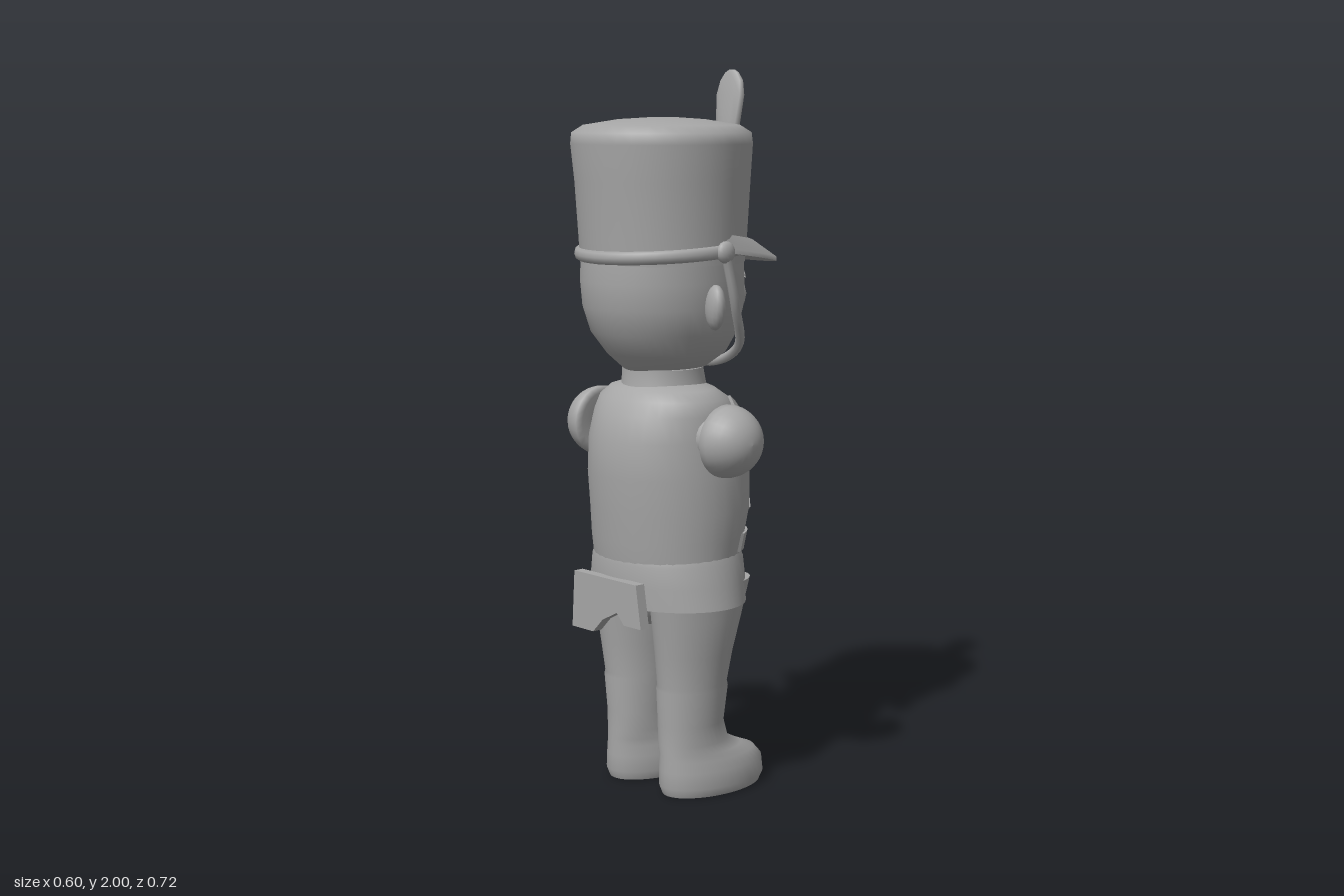
import * as THREE from 'three';

const grey = new THREE.MeshStandardMaterial({ color: 0xa6a6a6 });
grey.name = 'plain grey';

// Cross-sections, bottom to top: [y, back z, front z, half width, centre x]
const TORSO = [[0.65, -0.225, 0.16, 0.215], [0.72, -0.235, 0.18, 0.22], [0.8, -0.24, 0.2, 0.226],
  [0.9, -0.25, 0.203, 0.226], [1.0, -0.248, 0.187, 0.217], [1.07, -0.225, 0.155, 0.21],
  [1.11, -0.2, 0.115, 0.198], [1.135, -0.175, 0.08, 0.165], [1.15, -0.15, 0.05, 0.11]];
const SKIRT = [[0.54, -0.225, 0.165, 0.247], [0.6, -0.228, 0.172, 0.236], [0.66, -0.23, 0.172, 0.223], [0.69, -0.22, 0.16, 0.21]];
const HEAD = [[1.17, -0.13, 0.03, 0.06], [1.19, -0.165, 0.09, 0.1], [1.23, -0.205, 0.14, 0.155],
  [1.29, -0.25, 0.17, 0.195], [1.36, -0.273, 0.185, 0.213], [1.43, -0.279, 0.185, 0.218], [1.5, -0.275, 0.18, 0.218]];
const HAT = [[1.48, -0.275, 0.183, 0.223], [1.55, -0.28, 0.19, 0.226], [1.7, -0.29, 0.198, 0.236], [1.8, -0.3, 0.202, 0.246],
  [1.83, -0.297, 0.198, 0.243], [1.85, -0.265, 0.165, 0.212], [1.865, -0.17, 0.07, 0.12], [1.87, -0.09, 0, 0.04]];
const COLLAR = [[1.11, -0.17, 0.085, 0.125], [1.15, -0.16, 0.075, 0.115], [1.19, -0.158, 0.065, 0.113]];
const LEG = [[0, -0.13, 0.2, 0.094, 0.113], [0.025, -0.14, 0.212, 0.104, 0.113], [0.07, -0.14, 0.208, 0.1, 0.112],
  [0.1, -0.14, 0.18, 0.092, 0.111], [0.12, -0.14, 0.13, 0.085, 0.11], [0.145, -0.14, 0.08, 0.081, 0.108],
  [0.2, -0.14, 0.062, 0.081, 0.108], [0.3, -0.146, 0.073, 0.088, 0.111], [0.31, -0.144, 0.07, 0.084, 0.111],
  [0.4, -0.155, 0.087, 0.092, 0.115], [0.5, -0.17, 0.118, 0.1, 0.118], [0.6, -0.185, 0.15, 0.103, 0.12]];
const PELVIS = [[0.47, -0.11, 0.06, 0.05], [0.5, -0.14, 0.1, 0.11], [0.54, -0.17, 0.12, 0.19], [0.6, -0.18, 0.13, 0.2]];
const VISOR = [[0, -0.2, 0.302, 0.236], [0.012, -0.2, 0.302, 0.236], [0.05, -0.2, 0.205, 0.22]];

// Closed skin over elliptical cross-sections; warp may move each point
function loft(rings, warp = () => {}, n = 36) {
  const pos = [], idx = [];
  const add = (x, y, z) => {
    const p = new THREE.Vector3(x, y, z);
    warp(p);
    pos.push(p.x, p.y, p.z);
  };
  const ring = ([y, b, f, w, cx = 0]) => {
    for (let j = 0; j < n; j++) {
      const t = (j / n) * Math.PI * 2;
      add(cx + w * Math.sin(t), y, (b + f) / 2 + ((f - b) / 2) * Math.cos(t));
    }
  };
  rings.forEach(ring);
  for (let i = 0; i < rings.length - 1; i++) for (let j = 0; j < n; j++) {
    const a = i * n + j, b = i * n + (j + 1) % n;
    idx.push(a, b, a + n, b, b + n, a + n);
  }
  for (const top of [false, true]) {
    const r = top ? rings[rings.length - 1] : rings[0], s = pos.length / 3;
    ring(r);
    add(r[4] || 0, r[0], (r[1] + r[2]) / 2);
    for (let j = 0; j < n; j++) {
      const a = s + j, b = s + (j + 1) % n;
      idx.push(s + n, top ? a : b, top ? b : a);
    }
  }
  const g = new THREE.BufferGeometry();
  g.setAttribute('position', new THREE.Float32BufferAttribute(pos, 3));
  g.setIndex(idx);
  g.computeVertexNormals();
  return g;
}

// Front surface depth of a lofted part at (x, y)
function frontZ(rings, x, y) {
  let i = 0;
  while (i < rings.length - 2 && y > rings[i + 1][0]) i++;
  const p = rings[i], q = rings[i + 1];
  const t = THREE.MathUtils.clamp((y - p[0]) / (q[0] - p[0]), 0, 1);
  const [b, f, w] = [1, 2, 3].map(k => p[k] + (q[k] - p[k]) * t);
  const u = Math.min(Math.abs(x / w), 0.97);
  return (b + f) / 2 + ((f - b) / 2) * Math.sqrt(1 - u * u);
}

// Lays a flat relief, modelled in x and y, over the front of a lofted part
function drape(g, rings) {
  const p = g.attributes.position;
  for (let i = 0; i < p.count; i++) p.setZ(i, p.getZ(i) + frontZ(rings, p.getX(i), p.getY(i)));
  g.computeVertexNormals();
  return g;
}

const bead = (rx, ry, rz, turn = 0) => new THREE.SphereGeometry(1, 16, 10).scale(rx, ry, rz).rotateZ(turn);
const band = (x0, y0, x1, y1, w, d = 0.028) =>
  new THREE.BoxGeometry(Math.hypot(x1 - x0, y1 - y0), w, d, 18, 1, 1)
    .rotateZ(Math.atan2(y1 - y0, x1 - x0)).translate((x0 + x1) / 2, (y0 + y1) / 2, 0);
const tube = (pts, r) => new THREE.TubeGeometry(
  new THREE.CatmullRomCurve3(pts.map(p => new THREE.Vector3(...p))), 40, r, 8);

export function createModel() {
  const body = new THREE.Group();
  body.name = 'toySoldier';
  const part = (name, g) => {
    const m = new THREE.Mesh(g, grey);
    m.name = name;
    body.add(m);
    return m;
  };

  // Coat, with a hem that parts at the front
  part('torso', loft(TORSO));
  part('coatSkirt', loft(SKIRT, p => {
    if (p.y < 0.61 && p.z > 0) p.y += (p.y < 0.55 ? 0.085 : 0.035) * Math.max(0, 1 - Math.abs(p.x) / 0.16);
  }, 48));
  part('collar', loft(COLLAR, p => { if (p.z > 0 && p.y > 1.18) p.y -= 0.03 * Math.max(0, 1 - Math.abs(p.x) / 0.06); }));
  part('pelvis', loft(PELVIS));

  // Coat tail plate with a notched lower edge
  const tail = new THREE.Shape([[-0.12, 0.62], [-0.14, 0.5], [-0.07, 0.5], [-0.04, 0.53], [0.02, 0.5],
    [0.06, 0.46], [0.15, 0.46], [0.14, 0.62]].map(p => new THREE.Vector2(...p)));
  part('coatTail', new THREE.ExtrudeGeometry(tail, { depth: 0.03, bevelEnabled: false }).translate(0, 0, -0.252));

  // Belt, buckle and crossed straps
  part('belt', drape(band(-0.195, 0.705, 0.195, 0.705, 0.05, 0.022), TORSO));
  part('buckle', drape(band(-0.036, 0.705, 0.036, 0.705, 0.068, 0.045), TORSO));
  for (const s of [-1, 1]) {
    part('crossStrap', drape(band(-0.165 * s, 1.1, 0.11 * s, 0.77, 0.04), TORSO));
    [[0.1, 0.9], [0.12, 1.01], [0.075, 0.83]].forEach(([x, y]) =>
      part('coatButton', drape(bead(0.026, 0.014, 0.018, s * 0.4).translate(x * s, y, 0), TORSO)));
  }
  part('strapPlate', drape(bead(0.035, 0.035, 0.022).translate(0, 0.935, 0), TORSO));

  // Head and face
  part('head', loft(HEAD));
  part('nose', bead(0.02, 0.022, 0.024).translate(0, 1.345, 0.197));
  part('mouth', drape(tube([[-0.045, 1.295, 0], [0, 1.28, 0], [0.045, 1.295, 0]], 0.005), HEAD));
  for (const s of [-1, 1]) {
    part('eye', drape(bead(0.034, 0.034, 0.012).translate(0.1 * s, 1.385, 0), HEAD));
    part('pupil', drape(bead(0.015, 0.018, 0.018).translate(0.1 * s, 1.385, 0), HEAD));
    part('eyebrow', drape(tube([[0.065 * s, 1.435, 0], [0.105 * s, 1.45, 0], [0.145 * s, 1.43, 0]], 0.006), HEAD));
    part('ear', bead(0.042, 0.062, 0.026, -0.15 * s).rotateY(0.4 * s).translate(0.238 * s, 1.37, -0.07));
  }

  // Hat with band, visor and chin strap
  part('hat', loft(HAT));
  part('hatBand', new THREE.TorusGeometry(1, 0.05, 8, 40).rotateX(Math.PI / 2)
    .scale(0.226, 0.36, 0.236).rotateX(-0.06).translate(0, 1.515, -0.045));
  part('visor', loft(VISOR, p => { p.y += 1.51 - 0.15 * p.z; }));
  part('chinStrap', tube([[-0.235, 1.51, -0.03], [-0.222, 1.36, 0.02], [-0.165, 1.25, 0.085], [0, 1.19, 0.115],
    [0.165, 1.25, 0.085], [0.222, 1.36, 0.02], [0.235, 1.51, -0.03]], 0.013));
  for (const s of [-1, 1]) part('strapButton', bead(0.018, 0.03, 0.03).translate(0.235 * s, 1.515, -0.03));

  // Leaf ornament and plume
  for (const a of [-1.9, -0.85, 0, 0.85, 1.9]) {
    part('hatOrnament', drape(bead(0.017, 0.042, 0.016).translate(0, 0.045, 0).rotateZ(a).translate(0, 1.69, 0), HAT));
  }
  part('plume', loft([[1.64, 0.185, 0.2, 0.008], [1.7, 0.18, 0.215, 0.024], [1.78, 0.172, 0.213, 0.034], [1.86, 0.18, 0.22, 0.045],
    [1.93, 0.19, 0.226, 0.054], [1.97, 0.2, 0.226, 0.045], [1.992, 0.205, 0.224, 0.026], [2, 0.21, 0.22, 0.01]], undefined, 12));

  // Shoulder stubs and legs
  const dome = [[0, 0.02], [0.085, 0], [0.1, 0.012]];
  for (let i = 1; i <= 8; i++) {
    const t = (i / 8) * Math.PI / 2;
    dome.push([0.1 * Math.cos(t), 0.012 + 0.103 * Math.sin(t)]);
  }
  for (const s of [-1, 1]) {
    part('shoulder', new THREE.LatheGeometry(dome.map(p => new THREE.Vector2(...p)), 28)
      .rotateZ(-s * Math.PI / 2).translate(0.245 * s, 1.01, -0.047));
    part('shoulderJoint', bead(0.08, 0.06, 0.06).translate(0.2 * s, 1.01, -0.047));
    part('legAndBoot', loft(LEG.map(r => [r[0], r[1], r[2], r[3], r[4] * s])));
  }

  // The figure looks along +x
  body.rotation.y = Math.PI / 2;
  const model = new THREE.Group();
  model.add(body);
  return model;
}
